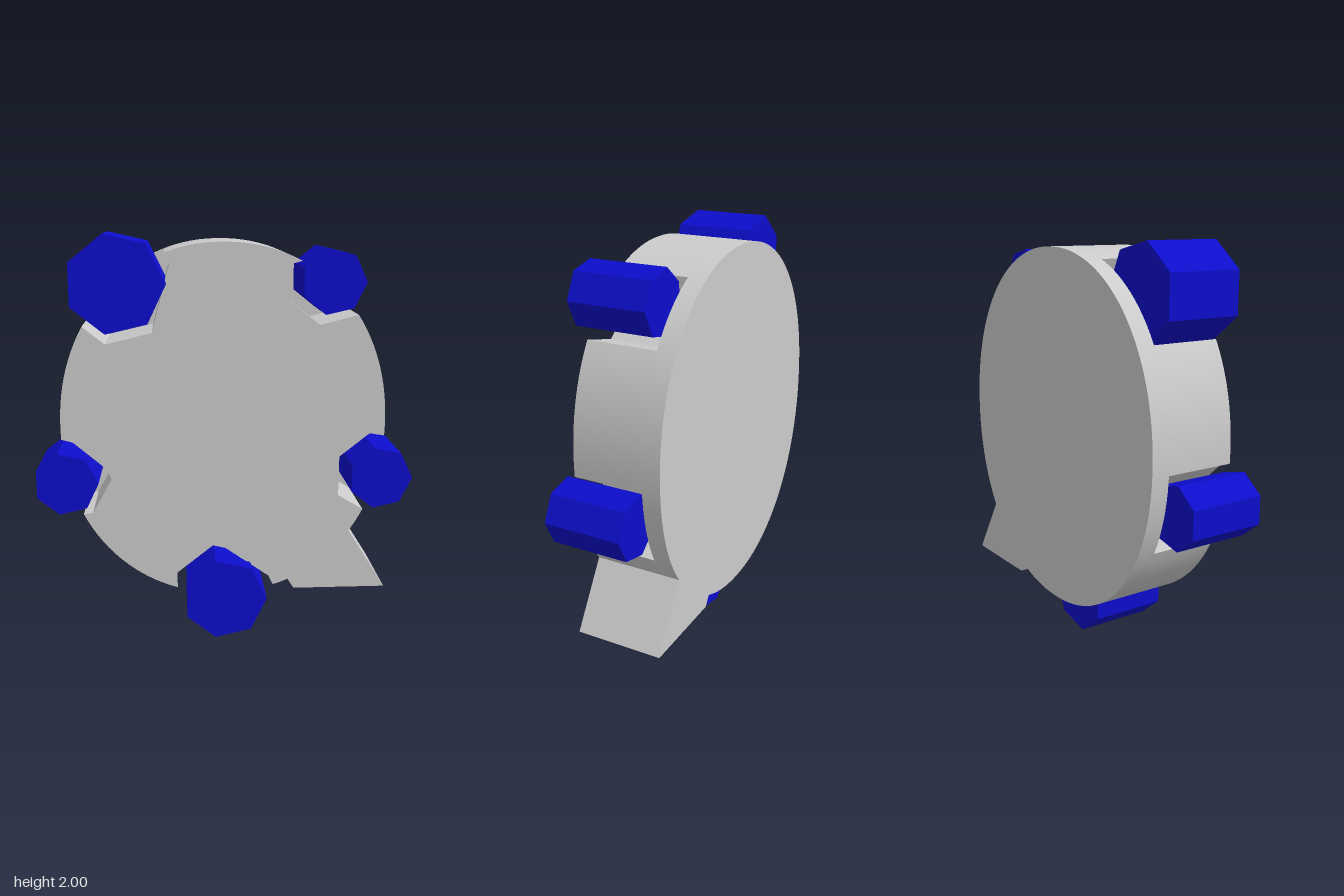
import * as THREE from 'three';
import { toCreasedNormals } from 'three/addons/utils/BufferGeometryUtils.js';

// Slightly squared oval of the bubble
const CX = -0.01, CY = 1.085, RX = 0.79, RY = 0.876, POWER = 2.1;
const ovalPoint = (t) => {
  const c = Math.cos(t), s = Math.sin(t);
  const k = (Math.abs(c) ** POWER + Math.abs(s) ** POWER) ** (-1 / POWER);
  return [CX + RX * c * k, CY + RY * s * k];
};
const ovalAngle = ([x, y]) => Math.atan2((y - CY) / RY, (x - CX) / RX);

// Detours from the oval, counter-clockwise; the ends lie on the rim
const tail = [[0.315, 0.27], [0.345, 0.225], [0.81, 0.225], [0.62, 0.53]];
const notches = [
  [[0.685, 0.645], [0.56, 0.72], [0.56, 0.92], [0.706, 1.037], [0.78, 1.025]],
  [[0.632, 1.619], [0.447, 1.572], [0.299, 1.688], [0.299, 1.857], [0.368, 1.894]],
  [[-0.288, 1.905], [-0.267, 1.857], [-0.352, 1.54], [-0.574, 1.487], [-0.68, 1.571]],
  [[-0.8, 1.026], [-0.743, 1.01], [-0.579, 0.868], [-0.563, 0.82], [-0.659, 0.65], [-0.71, 0.64]],
  [[-0.246, 0.243], [-0.246, 0.323], [-0.066, 0.466], [-0.003, 0.45], [0.214, 0.296], [0.24, 0.243]],
];

// Walk round the oval, replacing its arc by each detour
function outline(detours) {
  const points = [];
  const turn = Math.PI * 2;
  detours.forEach((path, i) => {
    const start = ovalAngle(path[0]), end = ovalAngle(path[path.length - 1]);
    points.push(ovalPoint(start), ...path.slice(1, -1), ovalPoint(end));
    let next = ovalAngle(detours[(i + 1) % detours.length][0]);
    while (next <= end) next += turn;
    const steps = Math.max(2, Math.ceil((next - end) / 0.05));
    for (let j = 1; j < steps; j++) points.push(ovalPoint(end + (next - end) * j / steps));
  });
  return new THREE.Shape(points.map(([x, y]) => new THREE.Vector2(x, y)));
}

function slab(name, detours, zBack, zFront, material) {
  const geometry = new THREE.ExtrudeGeometry(outline(detours), { depth: zFront - zBack, bevelEnabled: false });
  geometry.translate(0, 0, zBack);
  const mesh = new THREE.Mesh(toCreasedNormals(geometry, 0.3), material);
  mesh.name = name;
  return mesh;
}

export function createModel() {
  const model = new THREE.Group();
  model.name = 'studdedBubble';
  const grey = new THREE.MeshStandardMaterial({ color: 0xcccccc });
  const blue = new THREE.MeshStandardMaterial({ color: 0x0d0dcc, flatShading: true });

  // Solid back plate and notched front body
  model.add(slab('backPlate', [tail], -0.26, -0.17, grey));
  model.add(slab('frontBody', [tail, ...notches], -0.17, 0.176, grey));

  // Seven-sided studs standing in the notches: x, y, radius
  const studs = [
    ['upperRightStud', -0.515, 1.773, 0.233],
    ['upperLeftStud', 0.495, 1.781, 0.155],
    ['lowerRightStud', -0.775, 0.825, 0.155],
    ['lowerLeftStud', 0.751, 0.832, 0.156],
    ['bottomStud', -0.01, 0.208, 0.21],
  ];
  for (const [name, x, y, r] of studs) {
    const geometry = new THREE.CylinderGeometry(r, r, 0.386, 7);
    geometry.rotateX(Math.PI / 2).rotateZ(Math.PI / 2); // one corner towards +x
    const stud = new THREE.Mesh(geometry, blue);
    stud.name = name;
    stud.position.set(x, y, 0.067);
    model.add(stud);
  }
  return model;
}
